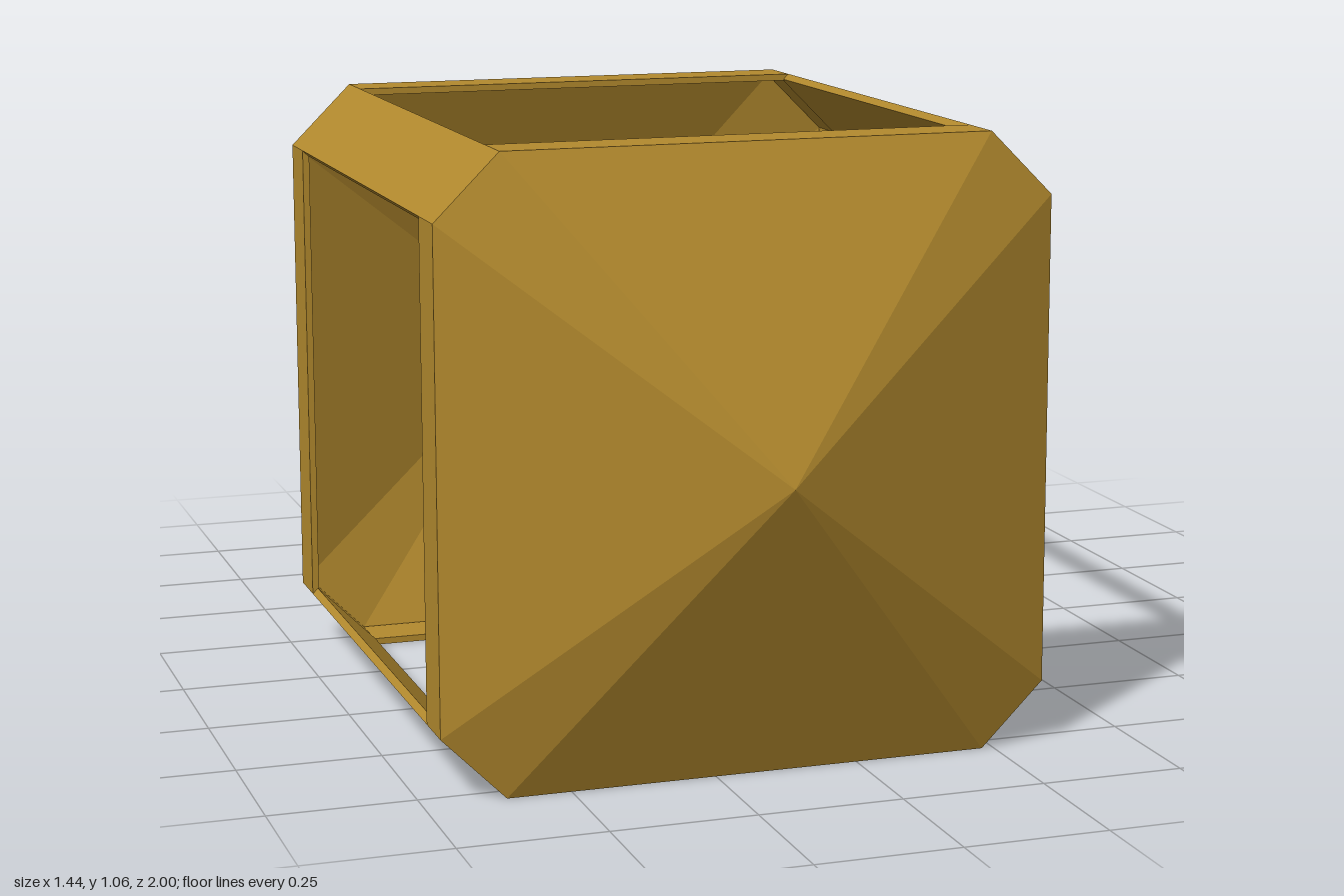
import * as THREE from 'three';

const CX = -0.19, CY = 0.5325, HALF = 0.53, CUT = 0.11;

// Square with cut corners, counter-clockwise around the lantern axis
function octagon(h, cut) {
  const c = h - cut;
  return [[h, -c], [h, c], [c, h], [-c, h], [-h, c], [-h, -c], [-c, -h], [c, -h]]
    .map(([x, y]) => new THREE.Vector2(x, y));
}

// Geometry from a list of corner loops, joined in order
function loft(loops) {
  const n = loops[0].length, pos = [], idx = [];
  loops.forEach(l => l.forEach(p => pos.push(...p)));
  for (let i = 0; i < loops.length - 1; i++) {
    for (let j = 0; j < n; j++) {
      const a = i * n + j, b = i * n + (j + 1) % n;
      idx.push(a, b, b + n, a, b + n, a + n);
    }
  }
  const indexed = new THREE.BufferGeometry();
  indexed.setAttribute('position', new THREE.Float32BufferAttribute(pos, 3));
  indexed.setIndex(idx);
  const g = indexed.toNonIndexed();
  g.computeVertexNormals();
  return g;
}

// Eight-sided low pyramid over the cut-corner square
function pyramid(height) {
  const base = octagon(HALF, CUT), pos = [];
  base.forEach((p, i) => {
    const q = base[(i + 1) % 8];
    pos.push(p.x, p.y, 0, q.x, q.y, 0, 0, 0, height);
  });
  const g = new THREE.BufferGeometry();
  g.setAttribute('position', new THREE.Float32BufferAttribute(pos, 3));
  g.computeVertexNormals();
  return g;
}

export function createModel() {
  const mat = (name, color, side = THREE.FrontSide) => {
    const m = new THREE.MeshStandardMaterial({ color, side, flatShading: true });
    m.name = name;
    return m;
  };
  const gold = mat('gold', 0xb38a2e, THREE.DoubleSide);
  const leather = mat('darkStrap', 0x4d4843, THREE.DoubleSide);
  const wax = mat('wax', 0xcccccc);
  const black = mat('wickBlack', 0x303030);
  const brown = mat('sootBrown', 0x503e2c);

  const model = new THREE.Group();
  model.name = 'lantern';
  const body = new THREE.Group();
  body.name = 'lanternBody';
  body.position.set(CX, CY, 0);
  model.add(body);

  const add = (name, geo, material, parent = body) => {
    const m = new THREE.Mesh(geo, material);
    m.name = name;
    parent.add(m);
    return m;
  };

  // Hollow end bands
  const band = new THREE.Shape(octagon(HALF, CUT));
  band.holes.push(new THREE.Path(octagon(HALF - 0.012, CUT - 0.005).reverse()));
  const bandGeo = new THREE.ExtrudeGeometry(band, { depth: 0.09, bevelEnabled: false });
  add('baseBand', bandGeo, gold).position.z = 0.70;
  add('roofBand', bandGeo, gold).position.z = -0.27;

  // Pointed ends; the base also has a flat floor
  add('basePoint', pyramid(0.21), gold).position.z = 0.79;
  const roof = add('roofPoint', pyramid(0.20), gold);
  roof.rotation.y = Math.PI;
  roof.position.z = -0.27;
  add('baseFloor', new THREE.ShapeGeometry(new THREE.Shape(octagon(HALF - 0.012, CUT - 0.005))), gold)
    .position.z = 0.785;

  // Thin posts along the four cut corners
  const c = HALF - CUT, t = 0.01;
  for (const sx of [1, -1]) {
    for (const sy of [1, -1]) {
      const pts = [[HALF, c], [c, HALF], [c - t, HALF - t], [HALF - t, c - t]]
        .map(([x, y]) => new THREE.Vector2(x * sx, y * sy));
      const geo = new THREE.ExtrudeGeometry(new THREE.Shape(pts), { depth: 0.90, bevelEnabled: false });
      add('cornerPost', geo, gold).position.z = -0.19;
    }
  }

  // Candle and wick
  const candle = add('candle', new THREE.CylinderGeometry(0.212, 0.212, 0.325, 8), wax);
  candle.rotation.x = -Math.PI / 2;
  candle.position.z = 0.6225;
  add('wick', new THREE.BoxGeometry(0.02, 0.02, 0.07), black).position.z = 0.43;

  // Dark knob inside the roof
  const knob = add('roofKnob', new THREE.SphereGeometry(0.11, 8, 4, 0, Math.PI * 2, 0, Math.PI / 2), brown);
  knob.rotation.x = Math.PI / 2;
  knob.scale.y = 0.55;
  knob.position.z = -0.425;

  // Six-sided hanging ring
  const ring = add('hangingRing', new THREE.TorusGeometry(0.239, 0.063, 5, 6), gold);
  ring.rotation.y = Math.PI / 2;
  ring.position.z = -0.58;

  // Open-ended strap: back x, back z, front x, front z, half height
  const stations = [
    [0.72, -1.0, 0.72, -0.79, 0.106],
    [0.29, -1.0, 0.29, -0.787, 0.106],
    [0.10, -0.93, 0.20, -0.775, 0.10],
    [-0.01, -0.83, 0.03, -0.70, 0.085],
    [-0.13, -0.745, -0.13, -0.675, 0.055],
    [-0.25, -0.74, -0.25, -0.70, 0.04],
    [-0.30, -0.765, -0.295, -0.708, 0.03],
    [-0.37, -0.80, -0.37, -0.80, 0.001],
  ];
  const loops = stations.map(([bx, bz, fx, fz, h]) => [
    [bx, CY - h, bz], [bx, CY + h, bz], [fx, CY + h, fz], [fx, CY - h, fz],
  ]);
  add('strap', loft(loops.reverse()), leather, model);

  return model;
}
